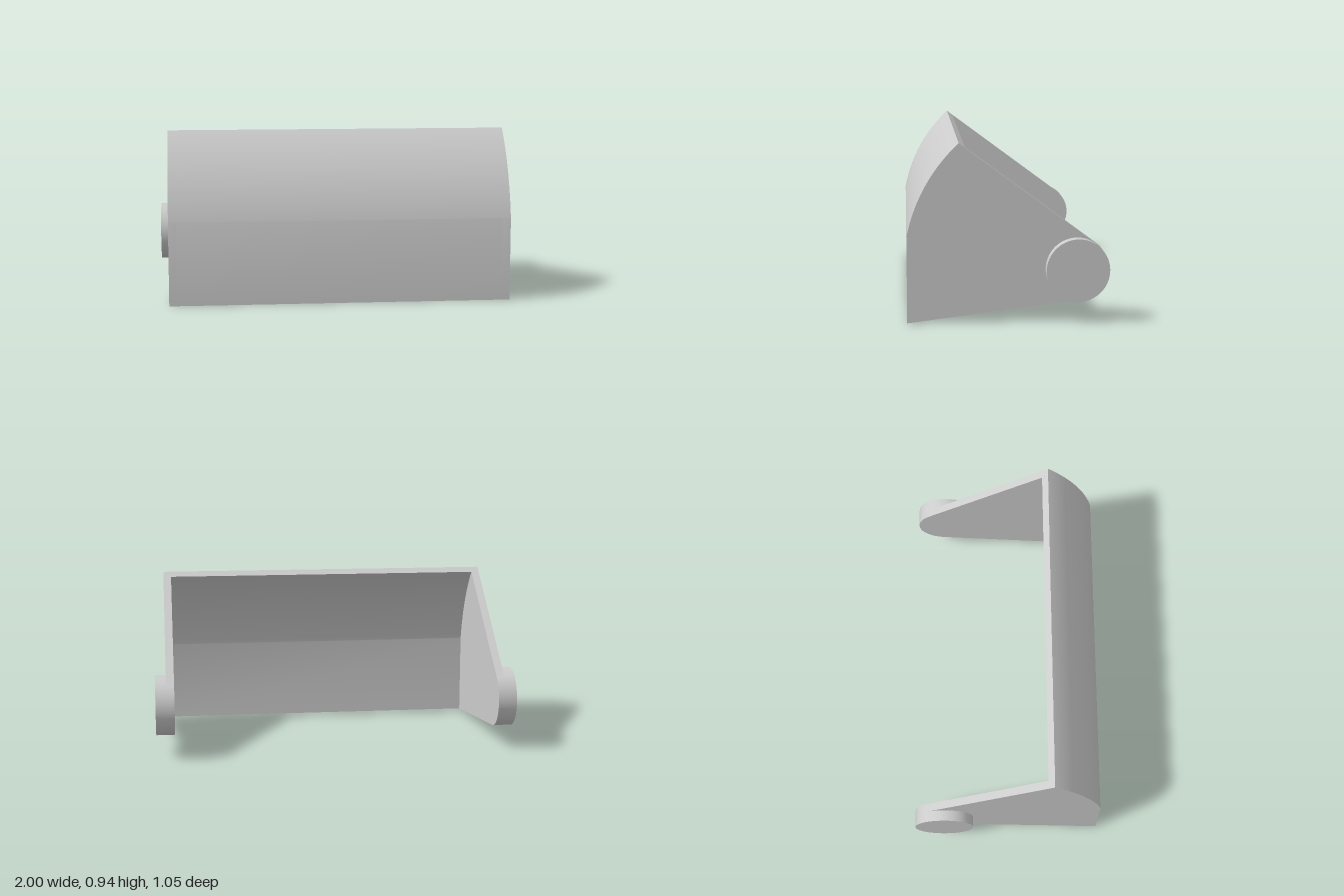
import * as THREE from 'three';
import { toCreasedNormals } from 'three/addons/utils/BufferGeometryUtils.js';

// Pivot axis, radii and widths
const PZ = -0.359, PY = 0.277, HUB = 0.1645, OUTER = 0.9, WALL = 0.044;
const HALF = 0.941, INNER = HALF - WALL;
const FRONT = 0.524;
const TOP = Math.atan2(0.66, 0.613);

// Extrude a (z, y) profile sideways, centred on x = 0
function extrudeX(shape, width) {
  const g = new THREE.ExtrudeGeometry(shape, { depth: width, bevelEnabled: false, curveSegments: 48 });
  g.translate(0, 0, -width / 2);
  g.rotateY(-Math.PI / 2);
  return toCreasedNormals(g, 0.4);
}

// Angle on the pivot circle where the front face at depth z meets it
const startAngle = (z, r) => Math.acos((z - PZ) / r);

// Cheek: curved front, straight sides running tangent to a round pivot end
function cheekShape() {
  const s = new THREE.Shape();
  s.absarc(PZ, PY, OUTER, startAngle(FRONT, OUTER), TOP, false);
  s.absarc(PZ, PY, HUB, 2.21, 4.587, false);
  s.lineTo(FRONT, 0);
  s.closePath();
  return s;
}

// Front wall: vertical lower part and curved upper part
function wallShape() {
  const r = OUTER - WALL + 0.002, z = FRONT - WALL;
  const s = new THREE.Shape();
  s.absarc(PZ, PY, OUTER, startAngle(FRONT, OUTER), TOP, false);
  s.absarc(PZ, PY, r, TOP + 0.0085, startAngle(z, r), true);
  s.lineTo(z, 0.0057);
  s.lineTo(FRONT, 0);
  s.closePath();
  return s;
}

export function createModel() {
  const model = new THREE.Group();
  model.name = 'pivotingCover';
  const grey = new THREE.MeshStandardMaterial({ color: 0xcccccc });
  grey.name = 'grey';

  const add = (name, geometry, x = 0, y = 0, z = 0) => {
    const mesh = new THREE.Mesh(geometry, grey);
    mesh.name = name;
    mesh.position.set(x, y, z);
    model.add(mesh);
  };

  add('frontWall', extrudeX(wallShape(), INNER * 2));

  // Cheeks and pivot discs on both sides
  const cheek = extrudeX(cheekShape(), WALL);
  const disc = new THREE.CylinderGeometry(HUB, HUB, 1 - HALF, 64).rotateZ(Math.PI / 2);
  for (const [side, s] of [['left', 1], ['right', -1]]) {
    add(side + 'Cheek', cheek, s * (HALF - WALL / 2));
    add(side + 'PivotDisc', disc, s * (1 + HALF) / 2, PY, PZ);
  }
  return model;
}
